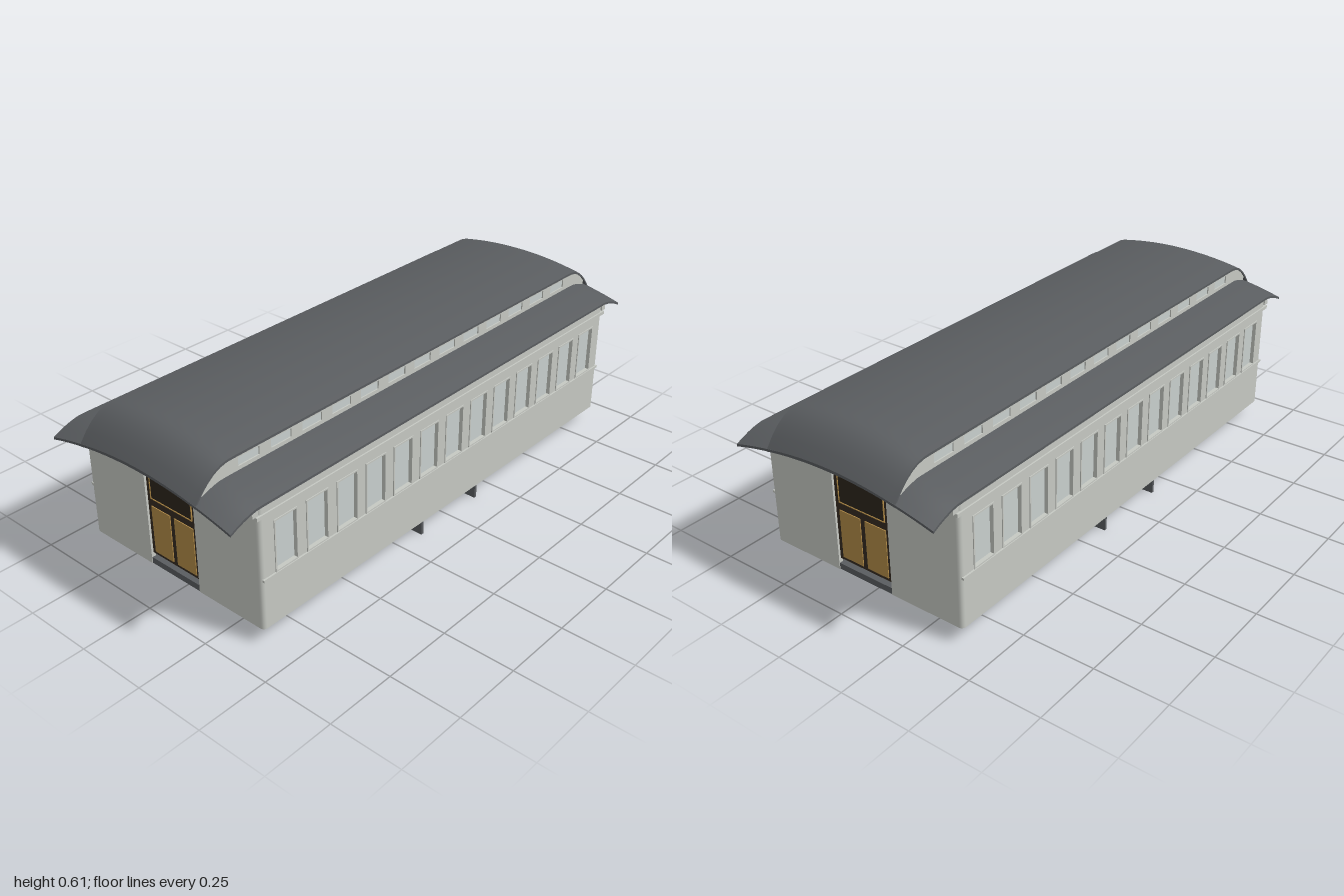
import * as THREE from 'three';

const HALF_W = 0.387, HALF_L = 0.89, BASE = 0.055, PITCH = 0.131;

const paint = (name, color) => {
  const m = new THREE.MeshStandardMaterial({ color });
  m.name = name;
  return m;
};

// Roof heights: a shallow arch across x that droops towards both ends
const ease = (z, start, drop, power) =>
  drop * Math.pow(Math.max(0, (Math.abs(z) - start) / (1 - start)), power);
const lowerY = (x, z) => 0.542 - 0.338 * x * x - ease(z, 0.89, 0.035, 1.6);
const upperY = (x, z) => 0.605 - 0.385 * x * x - ease(z, 0.86, 0.096, 2.2);

function roofGeometry(width, thick, heightAt) {
  const g = new THREE.BoxGeometry(width, thick, 2, 24, 1, 80);
  const p = g.attributes.position;
  for (let i = 0; i < p.count; i++) {
    p.setY(i, heightAt(p.getX(i), p.getZ(i)) + p.getY(i) - thick / 2);
  }
  g.computeVertexNormals();
  return g;
}

const polygon = (pts) => new THREE.Shape(pts.map(([x, y]) => new THREE.Vector2(x, y)));
const rect = (x0, y0, x1, y1) => [[x0, y0], [x1, y0], [x1, y1], [x0, y1]];
const extrude = (shape, depth) => new THREE.ExtrudeGeometry(shape, { depth, bevelEnabled: false });

function ring(x0, y0, x1, y1, t, depth) {
  const s = polygon(rect(x0, y0, x1, y1));
  s.holes.push(polygon(rect(x0 + t, y0 + t, x1 - t, y1 - t)));
  return extrude(s, depth);
}

// Points along the arch from x0 to x1
function archPoints(x0, x1, drop, n = 16) {
  return Array.from({ length: n + 1 }, (_, i) => {
    const x = x0 + ((x1 - x0) * i) / n;
    return [x, lowerY(x, 0) - drop];
  });
}

export function createModel() {
  const model = new THREE.Group();
  model.name = 'railwayCoach';

  const body = paint('pale grey body', 0xc6c9c3);
  const pane = paint('window pane grey', 0xc9d0ce);
  const slate = paint('slate roof and frame', 0x5a5d60);
  const wood = paint('dark door wood', 0x352b20);
  const glass = paint('door glass', 0x2c251b);
  const gold = paint('gold door panel', 0xb28b47);

  const add = (parent, name, geometry, material, x = 0, y = 0, z = 0) => {
    const m = new THREE.Mesh(geometry, material);
    m.name = name;
    m.position.set(x, y, z);
    parent.add(m);
    return m;
  };
  const box = (parent, name, material, w, h, d, x, y, z) =>
    add(parent, name, new THREE.BoxGeometry(w, h, d), material, x, y, z);

  const windowZ = Array.from({ length: 13 }, (_, i) => (i - 6) * PITCH);

  // Long sides with window openings
  const sideShape = polygon(rect(-HALF_L + 0.014, BASE, HALF_L - 0.014, 0.486));
  const W = 0.042, Y0 = 0.24, Y1 = 0.41;
  for (const z of windowZ) sideShape.holes.push(polygon(rect(z - W, Y0, z + W, Y1)));
  const sideWall = extrude(sideShape, 0.016).rotateY(-Math.PI / 2);
  const casing = ring(-W - 0.005, Y0 - 0.005, W + 0.005, Y1 + 0.005, 0.005, 0.003).rotateY(-Math.PI / 2);

  // Clerestory side following both roof curves
  const zs = Array.from({ length: 41 }, (_, i) => -0.97 + (1.94 * i) / 40);
  const clereShape = polygon([
    ...zs.map((z) => [z, lowerY(0.245, z) - 0.008]),
    ...zs.slice().reverse().map((z) => [z, upperY(0.245, z) - 0.006]),
  ]);
  for (const z of windowZ) clereShape.holes.push(polygon(rect(z - W, 0.534, z + W, 0.563)));
  const clereWall = extrude(clereShape, 0.008).rotateY(-Math.PI / 2);

  for (const turn of [0, Math.PI]) {
    const side = new THREE.Group();
    side.name = turn ? 'rightSide' : 'leftSide';
    side.rotation.y = turn;
    model.add(side);
    add(side, 'sideWall', sideWall, body, HALF_W);
    add(side, 'clerestoryWall', clereWall, body, 0.249);
    box(side, 'windowSill', body, 0.008, 0.008, 1.77, HALF_W + 0.002, 0.231, 0);
    box(side, 'eaveCornice', body, 0.01, 0.012, 1.8, HALF_W, 0.45, 0);
    for (const z of windowZ) {
      add(side, 'windowCasing', casing, body, HALF_W + 0.003, 0, z);
      box(side, 'windowPane', pane, 0.004, 0.175, 0.088, HALF_W - 0.013, 0.325, z);
      box(side, 'clerestoryPane', pane, 0.003, 0.032, 0.088, 0.243, 0.548, z);
    }
  }

  // Ends: arched wall around a doorway, cornice, corner posts and door
  const D = 0.11, E = HALF_W - 0.014;
  const endShape = polygon([
    [-E, BASE], [-D, BASE], [-D, 0.485], [D, 0.485], [D, BASE], [E, BASE],
    ...archPoints(E, -E, 0.006),
  ]);
  const endWall = extrude(endShape, 0.016);
  const cornice = extrude(polygon([
    ...archPoints(-HALF_W, HALF_W, 0.034),
    ...archPoints(HALF_W, -HALF_W, 0.006),
  ]), 0.022);
  const post = new THREE.CylinderGeometry(0.014, 0.014, 0.431, 16);

  for (const turn of [0, Math.PI]) {
    const end = new THREE.Group();
    end.name = turn ? 'backEnd' : 'frontEnd';
    end.rotation.y = turn;
    model.add(end);
    add(end, 'endWall', endWall, body, 0, 0, HALF_L - 0.016);
    add(end, 'endCornice', cornice, body, 0, 0, HALF_L);
    for (const s of [-1, 1]) add(end, 'cornerPost', post, body, s * E, 0.2705, HALF_L - 0.014);

    const door = new THREE.Group();
    door.name = 'door';
    end.add(door);
    const z = HALF_L - 0.008;
    box(door, 'doorLeaf', wood, 0.22, 0.392, 0.012, 0, 0.289, z - 0.006);
    add(door, 'glassTrim', ring(-0.094, 0.303, 0.094, 0.474, 0.003, 0.004), gold, 0, 0, z);
    box(door, 'doorGlass', glass, 0.18, 0.163, 0.003, 0, 0.3885, z + 0.001);
    for (const s of [-1, 1]) {
      box(door, 'doorPanel', gold, 0.085, 0.171, 0.004, s * 0.052, 0.19, z + 0.001);
    }
  }

  // Roofs
  add(model, 'lowerRoof', roofGeometry(0.784, 0.008, lowerY), slate);
  add(model, 'clerestoryRoof', roofGeometry(0.51, 0.008, upperY), slate);

  // Underframe
  const frame = new THREE.Group();
  frame.name = 'underframe';
  model.add(frame);
  box(frame, 'floor', slate, 0.742, 0.022, 1.776, 0, 0.066, 0);
  for (const x of [-0.3, -0.18, -0.06, 0.06, 0.18, 0.3]) {
    box(frame, 'floorSill', slate, 0.022, 0.012, 1.74, x, 0.05, 0);
  }
  const bolster = extrude(polygon([
    [-0.37, 0.056], [-0.37, 0.052], [-0.2, 0.041], [-0.05, 0.031],
    [0.05, 0.031], [0.2, 0.041], [0.37, 0.052], [0.37, 0.056],
  ]), 0.05);
  const tank = new THREE.CylinderGeometry(0.023, 0.023, 0.1, 20).rotateX(Math.PI / 2);
  for (const s of [-1, 1]) {
    add(frame, 'bolster', bolster, slate, 0, 0, s * 0.685 - 0.025);
    box(frame, 'crossBeam', slate, 0.764, 0.056, 0.01, 0, 0.028, s * 0.147);
    add(frame, 'airTank', tank, slate, s * 0.3, 0.033, 0);
  }
  return model;
}
